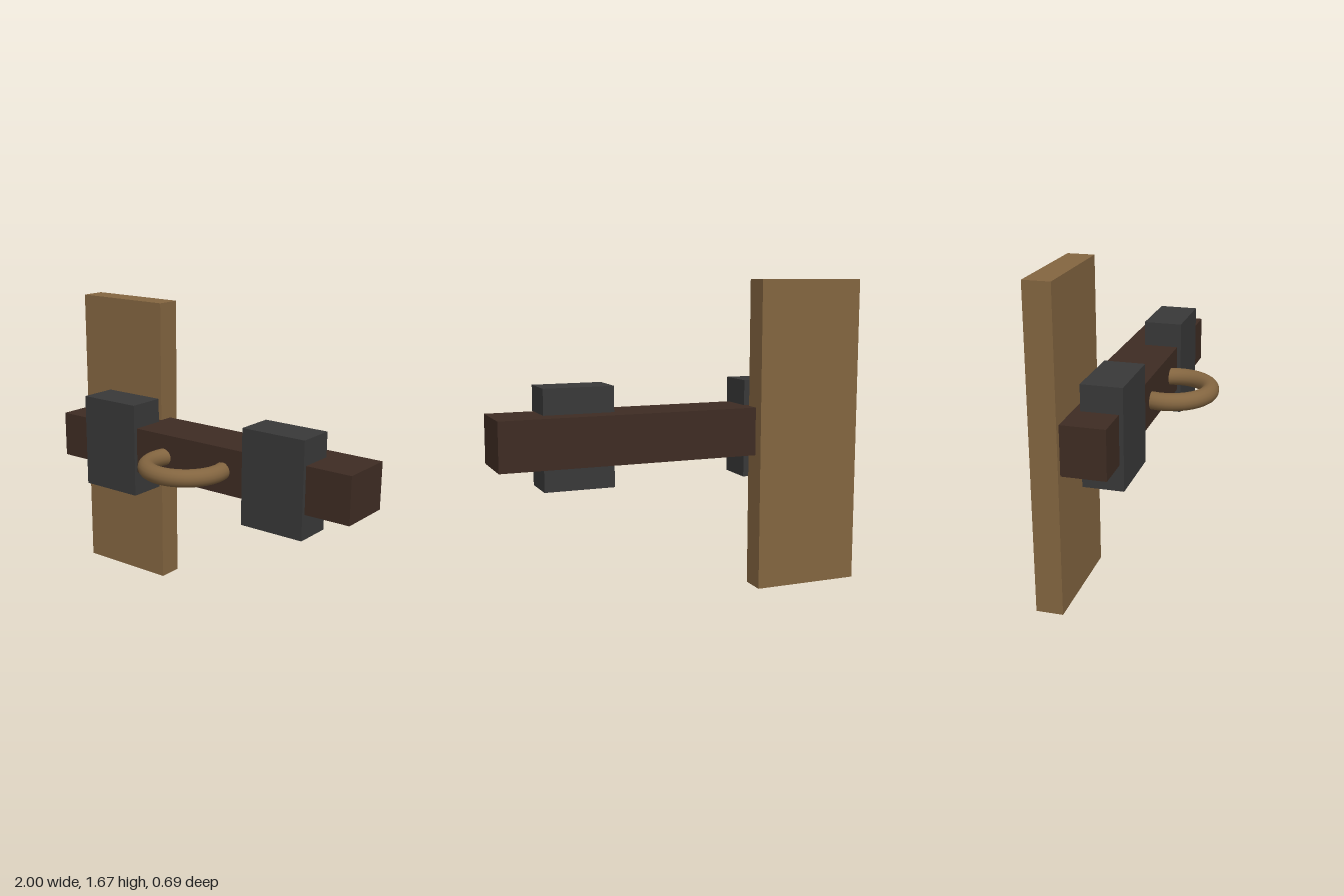
import * as THREE from 'three';

const material = (name, color) => {
  const m = new THREE.MeshStandardMaterial({ color });
  m.name = name;
  return m;
};

export function createModel() {
  const group = new THREE.Group();
  const lightWood = material('light wood', 0x836540);
  const darkWood = material('dark wood', 0x3e2c23);
  const iron = material('dark iron', 0x383838);

  // Box given by its limits along each axis
  const addBox = (name, mat, [x0, x1], [y0, y1], [z0, z1]) => {
    const mesh = new THREE.Mesh(new THREE.BoxGeometry(x1 - x0, y1 - y0, z1 - z0), mat);
    mesh.position.set((x0 + x1) / 2, (y0 + y1) / 2, (z0 + z1) / 2);
    mesh.name = name;
    group.add(mesh);
  };

  // Upright plank behind one end of the bar
  addBox('plank', lightWood, [-1, -0.405], [0, 1.675], [-0.345, -0.205]);

  // Horizontal bar
  addBox('bar', darkWood, [-0.97, 1], [0.733, 0.993], [-0.285, 0.025]);

  // Brackets holding the bar
  addBox('rightBracket', iron, [-0.773, -0.393], [0.595, 1.13], [-0.168, 0.047]);
  addBox('leftBracket', iron, [0.36, 0.74], [0.595, 1.13], [-0.168, 0.047]);

  // Ring handle lying flat, its back half sunk into the bar
  const ring = new THREE.Mesh(new THREE.TorusGeometry(0.213, 0.048, 16, 48), lightWood);
  ring.rotation.x = Math.PI / 2;
  ring.position.set(0.011, 0.863, 0.083);
  ring.name = 'ringHandle';
  group.add(ring);

  return group;
}
